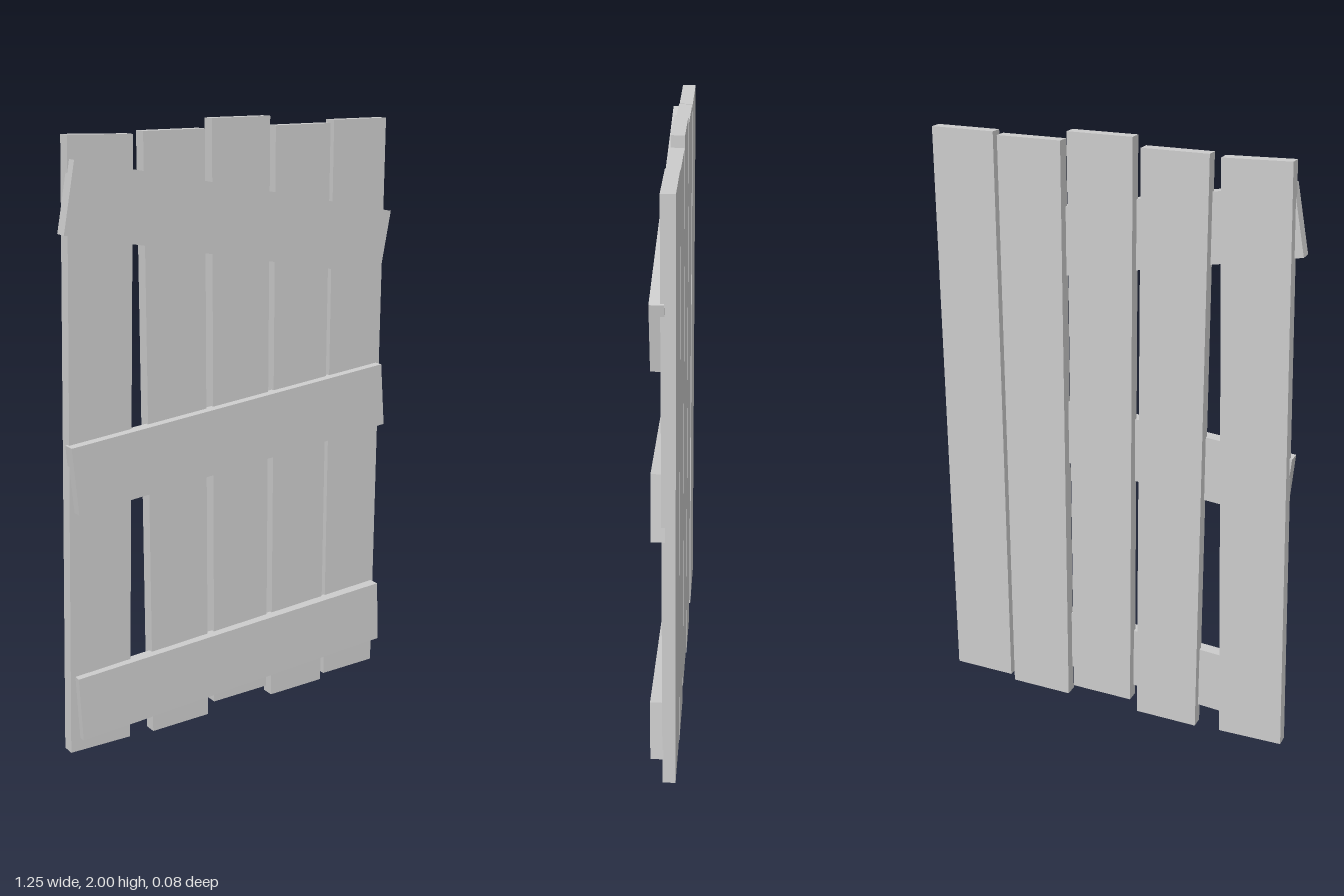
import * as THREE from 'three';

export function createModel() {
  const group = new THREE.Group();
  const material = new THREE.MeshStandardMaterial({ color: 0xcccccc, flatShading: true });

  function board(name, width, height, x, y, z, roll = 0, yaw = 0) {
    const mesh = new THREE.Mesh(new THREE.BoxGeometry(width, height, 0.042), material);
    mesh.name = name;
    mesh.position.set(x, y, z);
    mesh.rotation.set(0, yaw, roll, 'YXZ');
    group.add(mesh);
  }

  // Upright planks: centre x, centre y, length, lean
  [
    [-0.488, 0.988, 1.956, -0.028],
    [-0.208, 0.985, 1.97, 0],
    [0.036, 1.02, 1.96, 0],
    [0.276, 0.985, 1.97, 0],
    [0.508, 1.0, 1.96, 0],
  ].forEach(([x, y, length, lean], i) => board(`plank${i + 1}`, 0.218, length, x, y, -0.021, lean));

  // Crooked cross battens: name, centre y, roll, yaw
  [
    ['topBatten', 1.68, -0.187, 0],
    ['middleBatten', 0.986, 0.087, 0],
    ['bottomBatten', 0.196, 0.049, -0.012],
  ].forEach(([name, y, roll, yaw]) => board(name, 1.21, 0.218, 0.009, y, 0.01, roll, yaw));

  return group;
}
